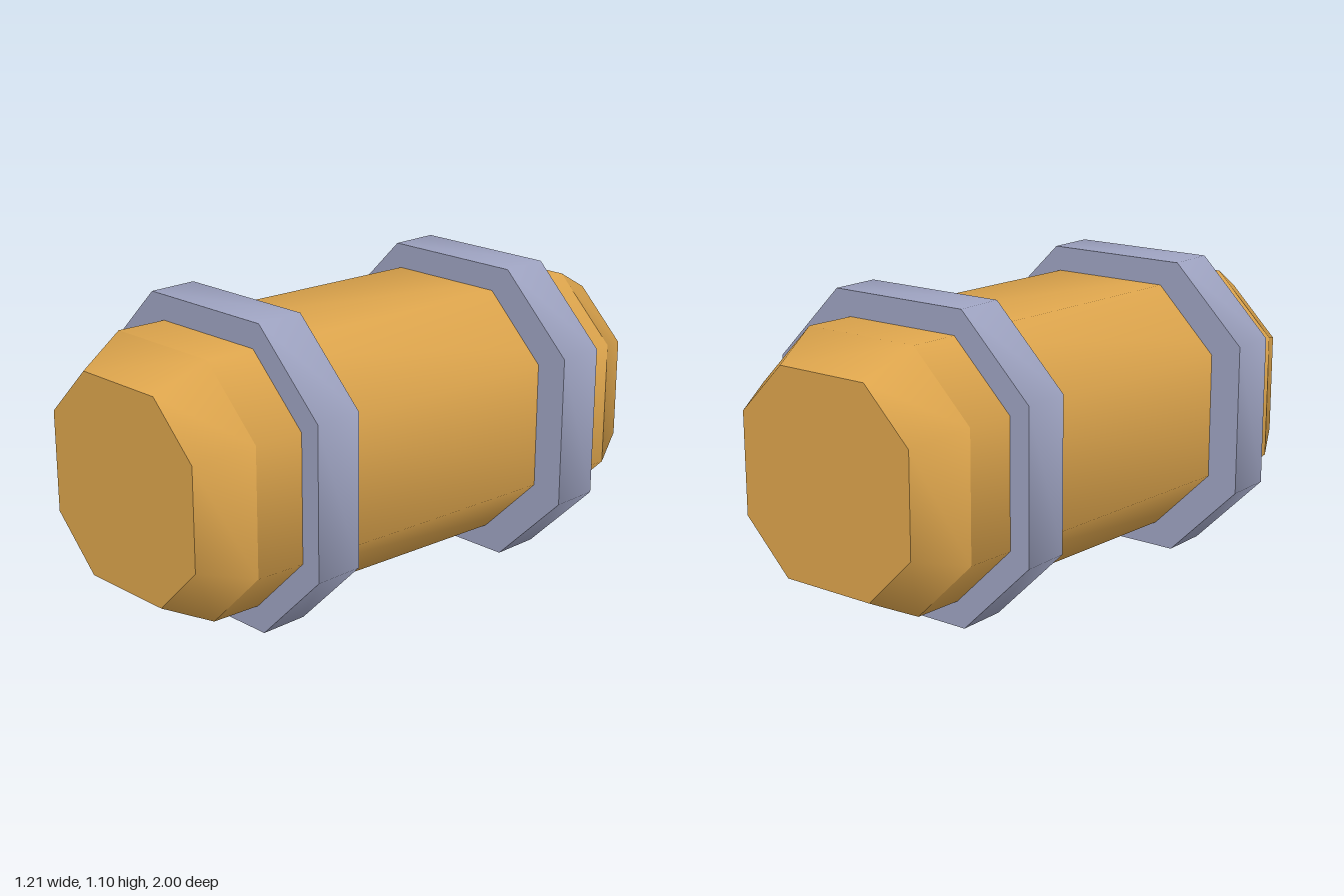
import * as THREE from 'three';
import { mergeGeometries } from 'three/addons/utils/BufferGeometryUtils.js';

const CENTRE_Y = 0.55;

// Octagon with flats half as long as its width, counter-clockwise seen from +z
function octagon({ x, z, r }) {
  const h = r / 2;
  return [[r, -h], [r, h], [h, r], [-h, r], [-r, h], [-r, -h], [-h, -r], [h, -r]]
    .map(([px, py]) => [x + px, CENTRE_Y + py, z]);
}

function indexed(points, index) {
  const geometry = new THREE.BufferGeometry();
  geometry.setAttribute('position', new THREE.Float32BufferAttribute(points.flat(), 3));
  geometry.setIndex(index);
  geometry.computeVertexNormals();
  return geometry;
}

// Band of sides between two octagons, smooth around the circumference
function band(back, front) {
  const index = [];
  for (let i = 0; i < 8; i++) {
    const j = (i + 1) % 8;
    index.push(i, j, 8 + j, i, 8 + j, 8 + i);
  }
  return indexed([...octagon(back), ...octagon(front)], index);
}

// Flat end face
function cap(section, facesFront) {
  const index = [];
  for (let i = 1; i < 7; i++) index.push(0, ...(facesFront ? [i, i + 1] : [i + 1, i]));
  return indexed(octagon(section), index);
}

// Closed solid through sections listed from back to front
function loft(sections) {
  const parts = [cap(sections[0], false), cap(sections.at(-1), true)];
  for (let i = 1; i < sections.length; i++) parts.push(band(sections[i - 1], sections[i]));
  return mergeGeometries(parts);
}

export function createModel() {
  const group = new THREE.Group();
  const amber = new THREE.MeshStandardMaterial({ color: 0xdca44c });
  amber.name = 'amber';
  const greyBlue = new THREE.MeshStandardMaterial({ color: 0x9da2c0 });
  greyBlue.name = 'greyBlue';

  const add = (name, sections, material) => {
    const mesh = new THREE.Mesh(loft(sections), material);
    mesh.name = name;
    group.add(mesh);
  };

  // Slightly skewed barrel with tapered ends
  add('barrel', [
    { x: 0.055, z: -1, r: 0.367 },
    { x: 0.052, z: -0.818, r: 0.459 },
    { x: -0.052, z: 0.818, r: 0.459 },
    { x: -0.055, z: 1, r: 0.367 },
  ], amber);

  // Two straight collars, each shifted to its own side
  for (const [name, side] of [['frontCollar', 1], ['backCollar', -1]]) {
    const x = -0.055 * side;
    const z = 0.543 * side;
    add(name, [{ x, z: z - 0.091, r: 0.55 }, { x, z: z + 0.091, r: 0.55 }], greyBlue);
  }
  return group;
}
